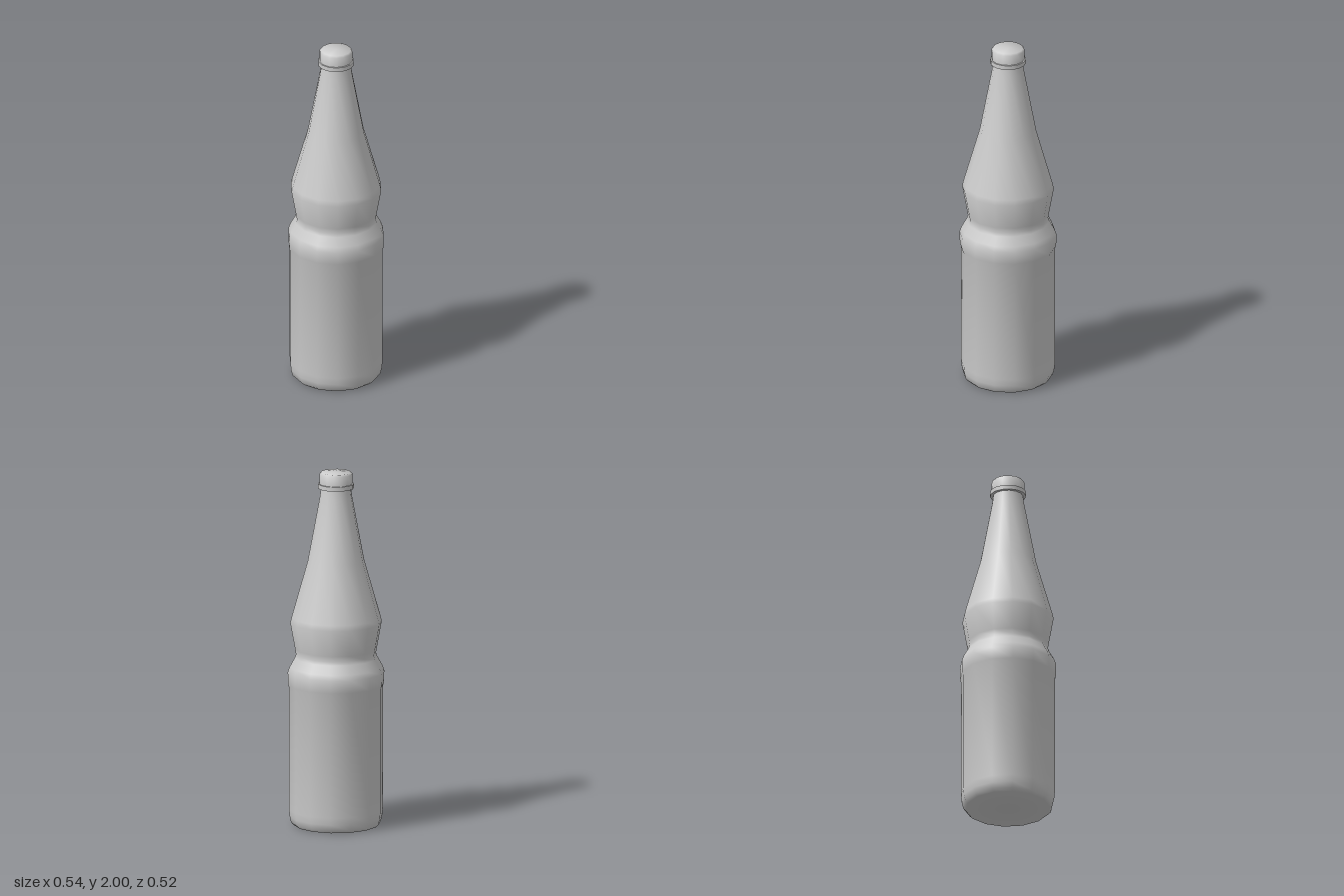
import * as THREE from 'three';
import { toCreasedNormals } from 'three/addons/utils/BufferGeometryUtils.js';

const SIDES = 14;

// Revolve a [radius, height] profile, listed from bottom to top, with a corner on the x axis
function turned(name, profile, crease) {
  const points = profile.map(([r, y]) => new THREE.Vector2(r, y));
  const lathe = new THREE.LatheGeometry(points, SIDES, Math.PI / 2);
  const material = new THREE.MeshStandardMaterial({ color: 0xcccccc });
  const mesh = new THREE.Mesh(toCreasedNormals(lathe, crease), material);
  mesh.name = name;
  return mesh;
}

export function createModel() {
  const group = new THREE.Group();
  group.name = 'bottle';

  // Base, straight body, shoulder ring, waist and long tapering neck
  group.add(turned('bottleBody', [
    [0, 0], [0.235, 0], [0.25, 0.015], [0.258, 0.05], [0.262, 0.09],
    [0.262, 0.785], [0.268, 0.8], [0.269, 0.87], [0.258, 0.9],
    [0.23, 0.95], [0.223, 0.97], [0.228, 1.0], [0.255, 1.15],
    [0.248, 1.18], [0.157, 1.5], [0.09, 1.86], [0.082, 1.92],
  ], 1.0));

  // Collar under the cap
  group.add(turned('neckCollar', [
    [0.08, 1.91], [0.1, 1.91], [0.1, 1.935], [0.09, 1.935],
  ], 0.7));

  // Closed cap with a slightly softened rim
  group.add(turned('cap', [
    [0.092, 1.93], [0.092, 1.99], [0.084, 2], [0, 2],
  ], 1.0));

  return group;
}
